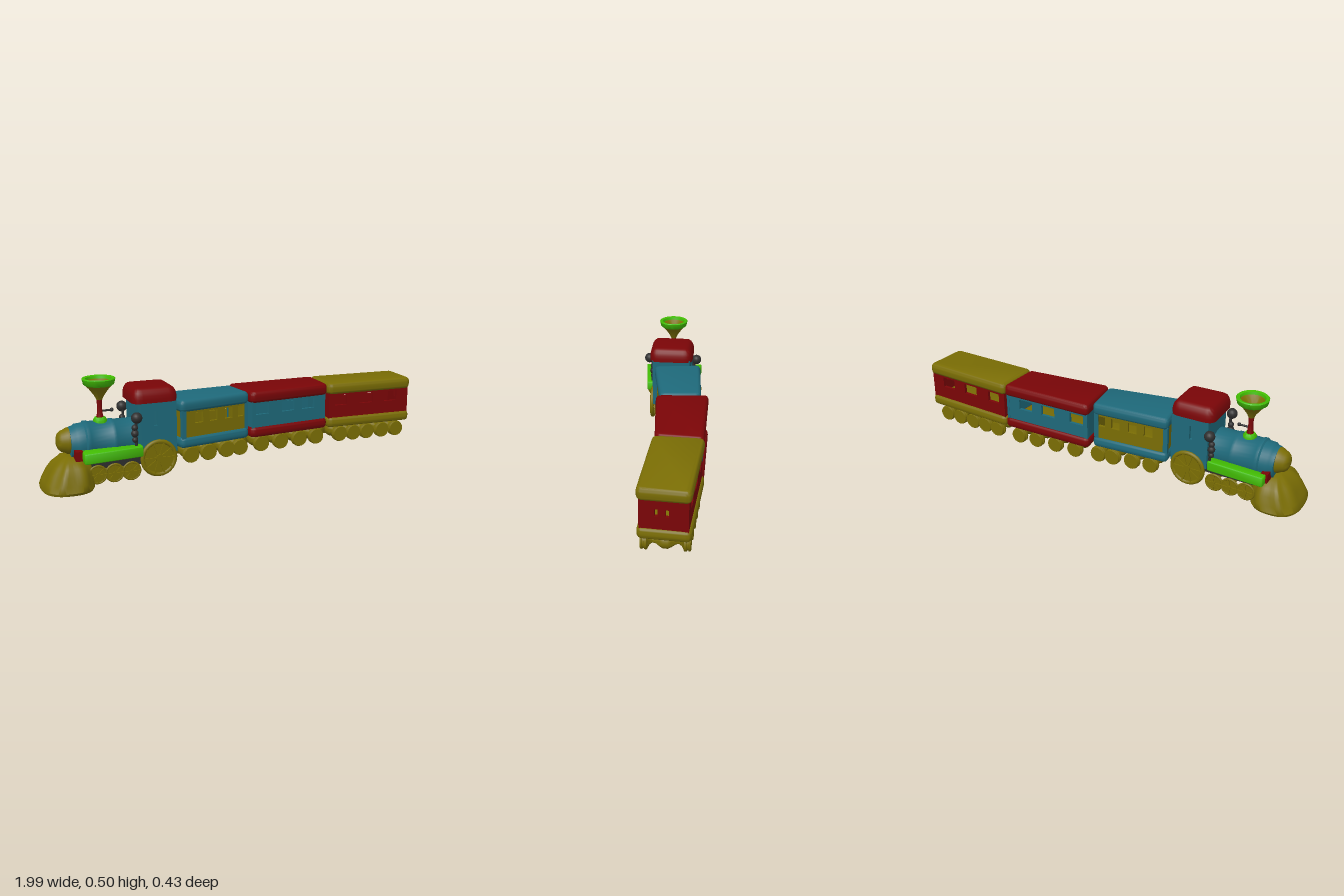
import * as THREE from 'three';
import { toCreasedNormals } from 'three/addons/utils/BufferGeometryUtils.js';

const paint = (name, color) => Object.assign(new THREE.MeshStandardMaterial({ color }), { name });
const red = paint('red', 0x7a0507), yellow = paint('mustard', 0x7a6d04), blue = paint('teal', 0x1e697a);
const green = paint('green', 0x42bc04), dark = paint('charcoal', 0x2e2e2e);

function add(parent, name, geo, mat, x = 0, y = 0, z = 0) {
  const m = new THREE.Mesh(geo, mat);
  m.name = name;
  m.position.set(x, y, z);
  parent.add(m);
  return m;
}
function group(parent, name) {
  const g = new THREE.Group();
  g.name = name;
  parent.add(g);
  return g;
}
const lathe = (pts, seg = 28) =>
  toCreasedNormals(new THREE.LatheGeometry(pts.map(p => new THREE.Vector2(...p)), seg), 0.7);

// Rounded slab over four plan corners [x, z]; flat removes the lower bevel
function slab(corners, y0, y1, radius, bevel, bevelHeight, flat = false) {
  const s = new THREE.Shape();
  const pts = corners.map(c => new THREE.Vector2(c[0], -c[1]));
  pts.forEach((p, i) => {
    const toward = q => p.clone().add(q.clone().sub(p).setLength(radius));
    const a = toward(pts[(i + 3) % 4]), b = toward(pts[(i + 1) % 4]);
    if (i) s.lineTo(a.x, a.y); else s.moveTo(a.x, a.y);
    s.quadraticCurveTo(p.x, p.y, b.x, b.y);
  });
  s.closePath();
  const bottom = flat ? y0 : y0 + bevelHeight;
  const g = new THREE.ExtrudeGeometry(s, {
    depth: y1 - bevelHeight - bottom, bevelEnabled: true, bevelSize: bevel,
    bevelOffset: -bevel, bevelThickness: bevelHeight, bevelSegments: 5, curveSegments: 6,
  });
  g.rotateX(-Math.PI / 2).translate(0, bottom, 0);
  if (flat) {
    const p = g.attributes.position;
    for (let i = 0; i < p.count; i++) p.setY(i, Math.max(p.getY(i), y0));
  }
  return toCreasedNormals(g, 0.7);
}

// Upright wall from plan point a to b; windows are [fraction, width, low, high]
function wall(parent, name, a, b, y0, y1, windows, mat) {
  const dx = b[0] - a[0], dz = b[1] - a[1], len = Math.hypot(dx, dz), t = 0.015;
  const box = (path, x0, x1, lo, hi) =>
    path.moveTo(x0, lo).lineTo(x1, lo).lineTo(x1, hi).lineTo(x0, hi).closePath();
  const s = box(new THREE.Shape(), 0, len, 0, y1 - y0);
  for (const [u, w, lo, hi] of windows)
    s.holes.push(box(new THREE.Path(), u * len - w / 2, u * len + w / 2, lo - y0, hi - y0));
  const g = new THREE.ExtrudeGeometry(s, { depth: t, bevelEnabled: false }).translate(0, 0, -t);
  add(parent, name, g, mat, a[0], y0, a[1]).rotation.y = -Math.atan2(dz, dx);
}

// Four walls: front, right end, back, left end; side windows mirror to the back
function room(parent, c, y0, y1, side, ends, mat) {
  const back = side.map(([u, ...rest]) => [1 - u, ...rest]);
  [side, ends, back, []].forEach((w, i) =>
    wall(parent, ['frontWall', 'rightWall', 'backWall', 'leftWall'][i], c[i], c[(i + 1) % 4], y0, y1, w, mat));
}

// Pair of wheels on an hourglass axle
const half = [[0.034, 0.01], [0.026, 0.025], [0.014, 0.042], [0.012, 0.055], [0.02, 0.066], [0.032, 0.073],
  [0.041, 0.077], [0.041, 0.087], [0.036, 0.089], [0.036, 0.094], [0.041, 0.096], [0.038, 0.104], [0, 0.104]];
const spool = lathe([...half.map(([r, y]) => [r, -y]).reverse(), ...half], 20).rotateX(Math.PI / 2);

// Carriage: plan corners run front-left, front-right, back-right, back-left
function carriage(parent, { name, corners, trim, body, post, windows, ends, wheels }) {
  const g = group(parent, name);
  const cx = corners.reduce((s, c) => s + c[0], 0) / 4, cz = corners.reduce((s, c) => s + c[1], 0) / 4;
  const shrink = (dx, dz) => corners.map(([x, z]) => [x - Math.sign(x - cx) * dx, z - Math.sign(z - cz) * dz]);
  const inset = shrink(0.009, 0.011);
  add(g, 'roof', slab(corners, 0.307, 0.366, 0.027, 0.017, 0.022), trim);
  add(g, 'floor', slab(corners, 0.133, 0.183, 0.027, 0.013, 0.02), trim);
  add(g, 'innerFloor', slab(shrink(0.03, 0.03), 0.18, 0.188, 0.01, 0.002, 0.002), yellow);
  const span = inset[1][0] - inset[0][0];
  room(g, inset, 0.175, 0.315, windows.map(([x, w]) => [(x - inset[0][0]) / span, w, 0.247, 0.3]), ends, body);
  const [fl, fr, br, bl] = corners;
  const zl = (fl[1] + bl[1]) / 2, zr = (fr[1] + br[1]) / 2, x0 = (fl[0] + bl[0]) / 2, x1 = (fr[0] + br[0]) / 2;
  if (post) for (const [x, z] of inset)
    add(g, 'cornerPost', new THREE.BoxGeometry(0.022, 0.14, 0.022), post,
      x - Math.sign(x - cx) * 0.008, 0.245, z - Math.sign(z - cz) * 0.009).rotation.y = -Math.atan2(zr - zl, x1 - x0);
  // Wheel sets follow the carriage's centre line
  for (const x of wheels)
    add(g, 'wheelSet', spool, yellow, x, 0.09, zl + (zr - zl) * (x - x0) / (x1 - x0));
}

// Spoked wheel facing z
function spokedWheel(parent, name, r, spokes, x, y, z) {
  const g = group(parent, name);
  g.position.set(x, y, z);
  add(g, 'rim', new THREE.TorusGeometry(r * 0.88, r * 0.12, 8, 28), yellow);
  add(g, 'web', new THREE.CylinderGeometry(r * 0.85, r * 0.85, 0.008, 28).rotateX(Math.PI / 2), yellow);
  add(g, 'hub', new THREE.CylinderGeometry(r * 0.2, r * 0.2, 0.026, 14).rotateX(Math.PI / 2), yellow);
  for (let i = 0; i < spokes; i++)
    add(g, 'spoke', new THREE.BoxGeometry(r * 1.7, r * 0.09, 0.018), yellow).rotation.z = i * Math.PI / spokes;
}

function locomotive(parent) {
  const g = group(parent, 'locomotive'), zc = 0.037, zs = 0.041;

  // Boiler and domed nose, turned about the x axis
  const boiler = lathe([[0, 0], [0.094, 0], [0.094, 0.09], [0.098, 0.095], [0.098, 0.11], [0.094, 0.115],
    [0.094, 0.21], [0.098, 0.215], [0.098, 0.23], [0.09, 0.237], [0.088, 0.272], [0.08, 0.282], [0.075, 0.302], [0, 0.302]], 32);
  add(g, 'boiler', boiler.rotateZ(Math.PI / 2), blue, -0.555, 0.2, zc);
  const nose = lathe([[0.062, 0], [0.06, 0.014], [0.053, 0.026], [0.048, 0.04], [0.038, 0.052], [0.022, 0.059], [0, 0.061]]);
  add(g, 'boilerNose', nose.rotateZ(Math.PI / 2), yellow, -0.854, 0.213, zc);

  // Chimney: collar, stem, funnel and rim
  add(g, 'chimneyCollar', lathe([[0.032, 0.28], [0.032, 0.3], [0.024, 0.312], [0, 0.314]], 20), green, -0.708, 0, zs);
  add(g, 'chimneyStem', lathe([[0.02, 0.3], [0.014, 0.325], [0.011, 0.36], [0.014, 0.4], [0, 0.4]], 16), red, -0.708, 0, zs);
  add(g, 'funnel', lathe([[0.012, 0.39], [0.022, 0.412], [0.046, 0.445], [0.064, 0.464]]), yellow, -0.708, 0, zs);
  add(g, 'funnelRim', lathe([[0.062, 0.461], [0.071, 0.468], [0.077, 0.492], [0.073, 0.496], [0.06, 0.493], [0.056, 0.478]]), green, -0.708, 0, zs);
  add(g, 'funnelInside', lathe([[0.058, 0.482], [0.035, 0.46], [0, 0.435]]), yellow, -0.708, 0, zs);
  add(g, 'whistle', new THREE.CylinderGeometry(0.005, 0.005, 0.05, 8).rotateZ(Math.PI / 2), dark, -0.675, 0.34, zs);
  add(g, 'whistleEnd', new THREE.SphereGeometry(0.009, 10, 8), dark, -0.652, 0.341, zs);

  // Cab
  const cab = [[-0.55, 0.125], [-0.362, 0.12], [-0.362, -0.078], [-0.55, -0.08]];
  room(g, cab, 0.13, 0.385, [[0.46, 0.016, 0.265, 0.335]], [], blue);
  add(g, 'cabFloor', new THREE.BoxGeometry(0.18, 0.02, 0.19), blue, -0.457, 0.14, 0.021);
  add(g, 'cabRoof', slab([[-0.575, 0.142], [-0.354, 0.135], [-0.354, -0.09], [-0.575, -0.088]],
    0.377, 0.446, 0.048, 0.034, 0.052, true), red);

  // Cowcatcher: a lathe squared off in plan, fluted and leaning back
  const skirt = new THREE.LatheGeometry([[0, 0], [0.96, 0], [1, 0.012], [0.98, 0.04], [0.9, 0.08], [0.78, 0.112],
    [0.6, 0.135], [0.38, 0.148], [0, 0.153]].map(p => new THREE.Vector2(...p)), 64);
  const p = skirt.attributes.position;
  for (let i = 0; i < p.count; i++) {
    const x = p.getX(i), y = p.getY(i), z = p.getZ(i), r = Math.hypot(x, z), a = Math.atan2(z, x);
    const flute = y > 0.02 ? 0.97 + 0.03 * Math.cos(8 * a + Math.PI) : 1;
    const square = v => Math.sign(v) * Math.pow(Math.abs(v), 0.78) * r * flute;
    // The back stays nearly upright while the front slopes
    const lean = x < 0 ? 0.28 : 0.12;
    p.setXYZ(i, square(Math.cos(a)) * 0.122 + y * lean * Math.min(1, 0.5 + Math.abs(x)), y, square(Math.sin(a)) * 0.16);
  }
  add(g, 'cowcatcher', toCreasedNormals(skirt, 0.7), yellow, -0.878, 0, 0.05);
  add(g, 'bufferBeam', new THREE.BoxGeometry(0.034, 0.045, 0.23), red, -0.832, 0.164, 0.04);

  // Running boards either side of the boiler
  add(g, 'leftRunningBoard', slab([[-0.82, 0.208], [-0.54, 0.172], [-0.54, 0.112], [-0.82, 0.128]], 0.137, 0.186, 0.01, 0.005, 0.006), green);
  add(g, 'rightRunningBoard', slab([[-0.84, -0.062], [-0.56, -0.05], [-0.56, -0.1], [-0.84, -0.113]], 0.137, 0.186, 0.01, 0.005, 0.006), green);

  // Lamp stacks in front of the cab
  for (const z of [0.161, -0.1]) {
    const s = Math.sign(z);
    add(g, 'lampBall', new THREE.SphereGeometry(0.026, 16, 12), dark, -0.567, 0.32, z);
    add(g, 'lampRod', new THREE.CylinderGeometry(0.007, 0.007, 0.13, 8), dark, -0.567, 0.25, z - s * 0.016);
    for (const [y, r] of [[0.27, 0.015], [0.243, 0.018], [0.213, 0.014]])
      add(g, 'lampKnob', new THREE.SphereGeometry(r, 12, 8), dark, -0.572, y, z - s * 0.019);
  }

  // Chassis and wheels
  add(g, 'chassis', new THREE.BoxGeometry(0.3, 0.06, 0.12), dark, -0.67, 0.11, 0.035);
  for (const z of [0.128, -0.08]) spokedWheel(g, 'drivingWheel', 0.09, 5, -0.455, 0.11, z);
  add(g, 'drivingAxle', new THREE.CylinderGeometry(0.012, 0.012, 0.21, 10).rotateX(Math.PI / 2), yellow, -0.455, 0.11, 0.024);
  for (const x of [-0.75, -0.67, -0.59]) {
    for (const z of [0.135, -0.07]) spokedWheel(g, 'leadingWheel', 0.046, 4, x, 0.065, z);
    add(g, 'leadingAxle', new THREE.CylinderGeometry(0.01, 0.01, 0.2, 10).rotateX(Math.PI / 2), yellow, x, 0.065, 0.033);
  }
}

export function createModel() {
  const train = new THREE.Group();
  train.name = 'train';
  locomotive(train);
  carriage(train, {
    name: 'firstCarriage', trim: blue, body: yellow, post: blue, ends: [],
    corners: [[-0.335, 0.106], [0.046, 0.036], [0.022, -0.166], [-0.37, -0.134]],
    windows: [[-0.235, 0.045], [-0.155, 0.045], [-0.07, 0.045], [0.0, 0.035]],
    wheels: [-0.275, -0.18, -0.08, -0.005],
  });
  carriage(train, {
    name: 'secondCarriage', trim: red, body: blue, ends: [],
    corners: [[0.05, 0.054], [0.498, 0.007], [0.51, -0.215], [0.024, -0.203]],
    windows: [[0.115, 0.075], [0.265, 0.075], [0.385, 0.075]],
    wheels: [0.12, 0.23, 0.34, 0.44],
  });
  carriage(train, {
    name: 'thirdCarriage', trim: yellow, body: red,
    corners: [[0.498, 0.017], [0.985, 0.027], [1.0, -0.199], [0.506, -0.219]],
    windows: [[0.575, 0.07], [0.725, 0.08], [0.87, 0.075]],
    ends: [[0.35, 0.014, 0.24, 0.272], [0.57, 0.014, 0.24, 0.272]],
    wheels: [0.58, 0.66, 0.74, 0.83, 0.915],
  });
  // Couplings between the vehicles
  for (const [x, z] of [[-0.36, 0.0], [0.035, -0.07], [0.5, -0.1]])
    add(train, 'coupling', new THREE.BoxGeometry(0.07, 0.025, 0.05), red, x, 0.155, z);
  return train;
}
